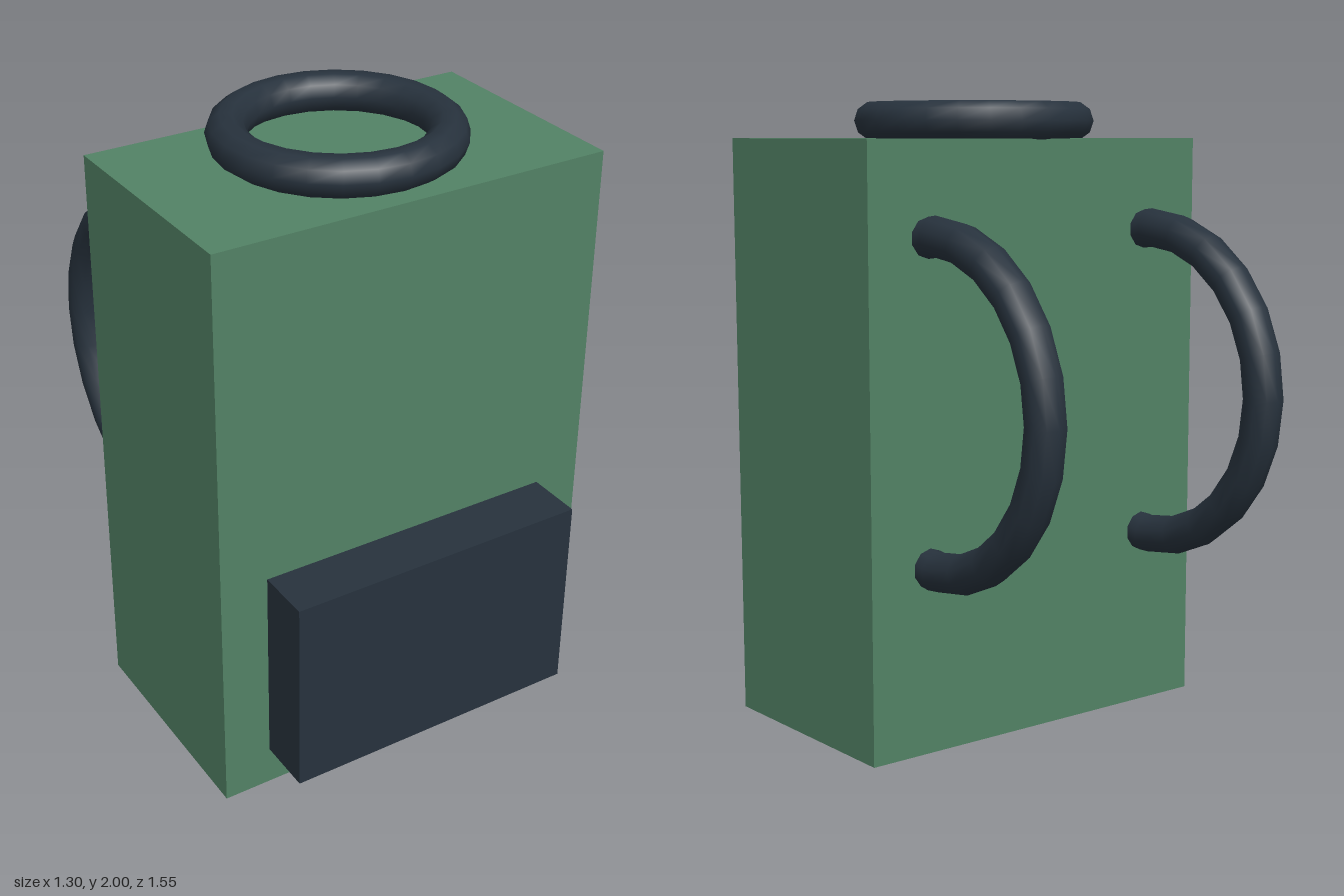
import * as THREE from 'three';

export function createModel() {
  const group = new THREE.Group();
  group.name = 'backpack';

  const green = new THREE.MeshStandardMaterial({ color: 0x55876a });
  green.name = 'green canvas';
  const dark = new THREE.MeshStandardMaterial({ color: 0x27323d });
  dark.name = 'dark trim';
  green.color.set(0x528265);

  const add = (name, geometry, material, x, y, z) => {
    const mesh = new THREE.Mesh(geometry, material);
    mesh.name = name;
    mesh.position.set(x, y, z);
    group.add(mesh);
    return mesh;
  };

  // Main bag and front pocket
  add('body', new THREE.BoxGeometry(1.305, 1.885, 0.761), green, 0, 0.9425, 0.2125);
  add('frontPocket', new THREE.BoxGeometry(0.993, 0.655, 0.22), dark, 0, 0.4575, 0.664);

  // Carry ring lying on the top
  const ring = add('topRing', new THREE.TorusGeometry(0.325, 0.0625, 10, 24), dark, 0, 1.9405, 0.175);
  ring.rotation.x = Math.PI / 2;

  // Shoulder straps: upright rings whose front halves sit inside the bag
  const strapGeometry = new THREE.TorusGeometry(0.508, 0.0625, 10, 24);
  for (const side of [-1, 1]) {
    const strap = add(side > 0 ? 'leftStrap' : 'rightStrap', strapGeometry, dark, side * 0.436, 1.09, -0.205);
    strap.rotation.y = Math.PI / 2;
  }

  return group;
}
